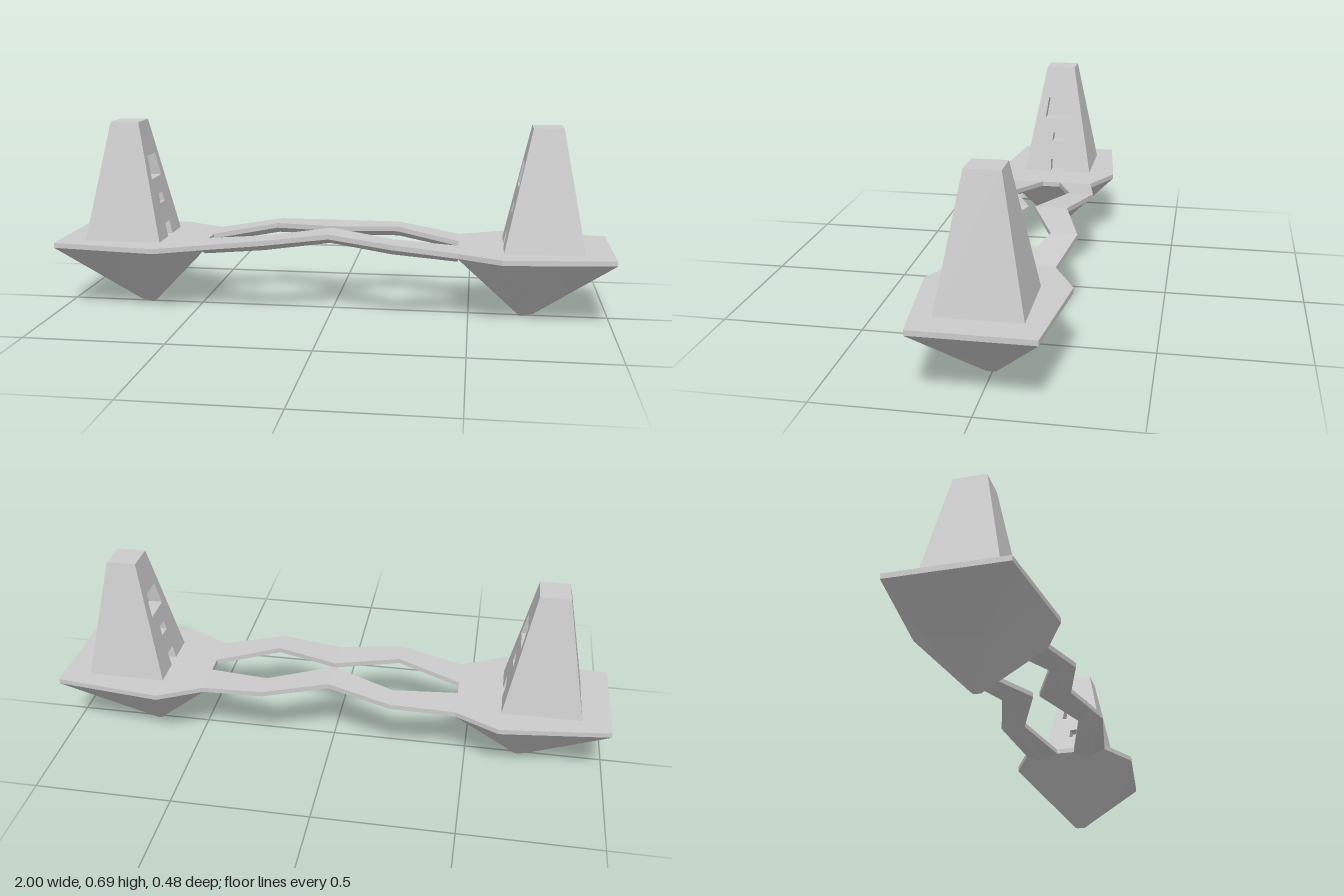
import * as THREE from 'three';

const flat = new THREE.MeshStandardMaterial({ color: 0xcccccc, flatShading: true });
const smooth = new THREE.MeshStandardMaterial({ color: 0xcccccc });

const DECK = 0.26, PLATE = 0.018, TOP = 0.69;
const WALL = 0.05; // depth of the openings in a tower

// island outline as [x, z]
const OUTLINE = [[1, -0.195], [1, 0.195], [0.615, 0.24], [0.46, 0.16], [0.46, -0.16], [0.615, -0.24]];

function mesh(name, geometry, material = flat) {
  const m = new THREE.Mesh(geometry, material);
  m.name = name;
  return m;
}

// Skin through closed rings of [x, y, z] points, with an optional end cap
function loft(rings, cap = false) {
  const n = rings[0].length, index = [];
  for (let i = 0; i < rings.length - 1; i++) {
    for (let j = 0; j < n; j++) {
      const a = i * n + j, b = i * n + (j + 1) % n;
      index.push(a, b, b + n, a, b + n, a + n);
    }
  }
  if (cap) {
    const s = (rings.length - 1) * n;
    for (let j = 1; j < n - 1; j++) index.push(s, s + j, s + j + 1);
  }
  const g = new THREE.BufferGeometry();
  g.setAttribute('position', new THREE.Float32BufferAttribute(rings.flat(2), 3));
  g.setIndex(index);
  g.computeVertexNormals();
  return g;
}

// Move every vertex by a rule and rebuild flat normals
function warp(geometry, rule) {
  const g = geometry.index ? geometry.toNonIndexed() : geometry;
  const p = g.attributes.position;
  for (let i = 0; i < p.count; i++) p.setXYZ(i, ...rule(p.getX(i), p.getY(i), p.getZ(i)));
  g.computeVertexNormals();
  return g;
}

const polygon = (points, Type = THREE.Shape) => new Type(points.map(p => new THREE.Vector2(...p)));
const rise = y => (y - DECK) / (TOP - DECK);

function createIsland() {
  const island = new THREE.Group();
  island.name = 'island';

  // flat deck
  const deck = new THREE.ExtrudeGeometry(polygon(OUTLINE), { depth: PLATE, bevelEnabled: false });
  deck.rotateX(-Math.PI / 2).translate(0, DECK - PLATE, 0);
  island.add(mesh('deck', deck));

  // rock tapering to a small blunt tip
  const rim = OUTLINE.map(([x, z]) => [x, DECK - PLATE, z]);
  const tip = OUTLINE.map(([x, z]) => {
    const tx = 0.71 + (x - 0.73) * 0.09;
    return [tx, (tx - 0.6857) * 0.2, z * 0.075];
  });
  island.add(mesh('underside', loft([rim, tip], true), smooth));
  return island;
}

function createTower() {
  const tower = new THREE.Group();
  tower.name = 'tower';

  // inner wall with a doorway and two windows, leaning with the taper
  const wall = polygon([
    [-0.138, DECK], [-0.028, DECK], [-0.028, 0.31], [0.028, 0.31], [0.028, DECK], [0.138, DECK],
    [0.057, TOP], [-0.057, TOP],
  ]);
  wall.holes.push(
    polygon([[-0.025, 0.385], [-0.022, 0.42], [0.022, 0.42], [0.025, 0.385]], THREE.Path),
    polygon([[-0.058, 0.48], [-0.046, 0.565], [0.046, 0.565], [0.058, 0.48]], THREE.Path),
  );
  const wallGeo = new THREE.ExtrudeGeometry(wall, { depth: WALL, bevelEnabled: false });
  wallGeo.rotateY(Math.PI / 2);
  tower.add(mesh('windowWall', warp(wallGeo, (x, y, z) => [x + 0.62 + 0.09 * rise(y), y, z])));

  // solid tapered body behind the wall
  const body = warp(new THREE.BoxGeometry(1, 1, 1), (x, y, z) => {
    const t = y + 0.5;
    const px = x < 0 ? 0.62 + WALL + 0.09 * t : 0.9 - 0.085 * t;
    return [px, DECK + (TOP - DECK) * t, 2 * z * (0.138 - 0.081 * t)];
  });
  tower.add(mesh('towerBody', body));
  return tower;
}

// Half of one bridge strand: flat top, thin edges, keeled underside
function createStrand(side) {
  const stations = [ // x, inner z, outer z, top y
    [0, 0.012, 0.13, 0.308],
    [0.23, 0.107, 0.2, 0.293],
    [0.46, 0.035, 0.16, DECK],
  ];
  const rings = stations.map(([x, zi, zo, y]) => {
    const ring = [
      [x, y, zo * side], [x, y - PLATE, zo * side], [x, y - 0.044, (zi + zo) / 2 * side],
      [x, y - PLATE, zi * side], [x, y, zi * side],
    ];
    return side > 0 ? ring : ring.reverse();
  });
  return mesh('bridgeStrand', loft(rings, true));
}

export function createModel() {
  const model = new THREE.Group();
  model.name = 'islandBridge';
  // the two ends are half-turns of each other
  for (const [name, turn] of [['leftEnd', 0], ['rightEnd', Math.PI]]) {
    const end = new THREE.Group();
    end.name = name;
    end.add(createIsland(), createTower(), createStrand(1), createStrand(-1));
    end.rotation.y = turn;
    model.add(end);
  }
  return model;
}
